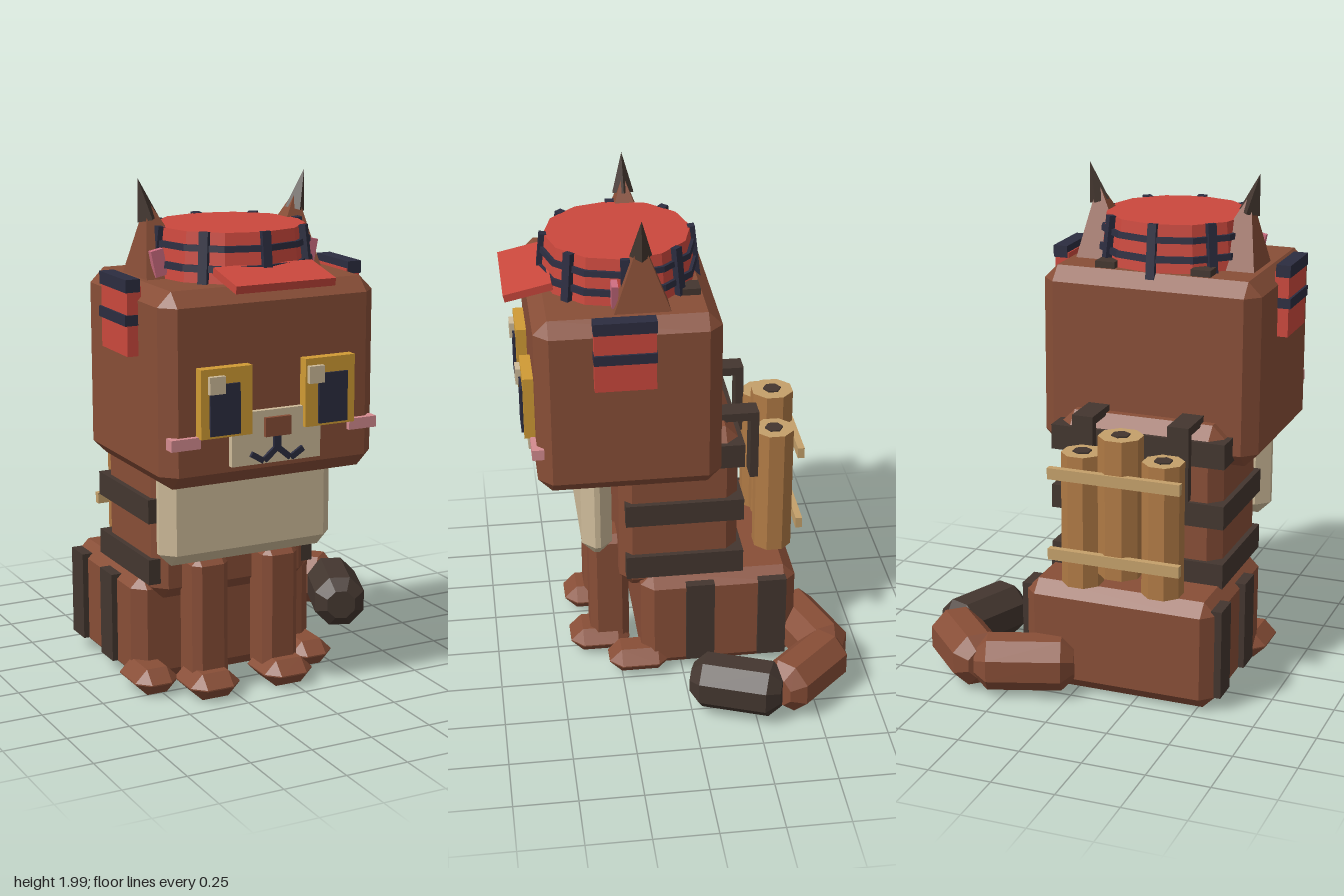
import * as THREE from 'three';
import { ConvexGeometry } from 'three/addons/geometries/ConvexGeometry.js';

const CX = -0.18; // symmetry plane of the body

export function createModel() {
  const root = new THREE.Group();
  root.name = 'seatedAnimal';
  const mat = (name, color) => {
    const m = new THREE.MeshStandardMaterial({ color, flatShading: true });
    m.name = name;
    return m;
  };
  const brown = mat('brown fur', 0x884e37);
  const dark = mat('dark strap', 0x43362f);
  const cream = mat('cream fur', 0xcfbc9a);
  const red = mat('red', 0xcb483d);
  const navy = mat('navy', 0x2c2d40);
  const gold = mat('gold', 0xd09b34);
  const pink = mat('blush pink', 0xd58c90);
  const rose = mat('ear rose', 0xcc6c80);
  const bark = mat('bark', 0xb07a45);
  const tan = mat('cut wood', 0xc4a06a);

  const add = (name, geo, m, parent = root) => {
    const mesh = new THREE.Mesh(geo, m);
    mesh.name = name;
    parent.add(mesh);
    return mesh;
  };
  // plain box from its limits
  const box = (name, m, x0, x1, y0, y1, z0, z1) => {
    const mesh = add(name, new THREE.BoxGeometry(x1 - x0, y1 - y0, z1 - z0), m);
    mesh.position.set((x0 + x1) / 2, (y0 + y1) / 2, (z0 + z1) / 2);
    return mesh;
  };
  // box with bevelled edges, from its limits
  const bevelBox = (name, m, x0, x1, y0, y1, z0, z1, c) => {
    const [w, h, d] = [(x1 - x0) / 2, (y1 - y0) / 2, (z1 - z0) / 2];
    const pts = [];
    for (const sx of [-1, 1]) for (const sy of [-1, 1]) for (const sz of [-1, 1]) {
      pts.push(new THREE.Vector3(sx * w, sy * (h - c), sz * (d - c)));
      pts.push(new THREE.Vector3(sx * (w - c), sy * h, sz * (d - c)));
      pts.push(new THREE.Vector3(sx * (w - c), sy * (h - c), sz * d));
    }
    const mesh = add(name, new ConvexGeometry(pts), m);
    mesh.position.set((x0 + x1) / 2, (y0 + y1) / 2, (z0 + z1) / 2);
    return mesh;
  };
  // limits measured outward from the symmetry plane, on side s
  const side = (fn, s, name, m, a, b, ...rest) =>
    fn(name, m, CX + (s > 0 ? a : -b), CX + (s > 0 ? b : -a), ...rest);

  // head and body
  bevelBox('head', brown, -0.624, 0.264, 0.9, 1.634, -0.153, 0.566, 0.055);
  bevelBox('bib', cream, -0.55, 0.18, 0.55, 0.97, 0.275, 0.397, 0.05);
  bevelBox('torso', brown, -0.515, 0.155, 0.37, 1.08, -0.235, 0.245, 0.05);
  bevelBox('haunches', brown, -0.57, 0.215, 0.01, 0.45, -0.47, 0.165, 0.05);
  for (const [y0, y1] of [[0.44, 0.54], [0.685, 0.78], [0.93, 1.03]])
    box('bodyStrap', dark, -0.537, 0.177, y0, y1, -0.253, 0.222);

  // muzzle, nose and mouth
  box('muzzle', cream, -0.365, 0.005, 0.977, 1.178, 0.55, 0.588);
  box('nose', brown, -0.233, -0.127, 1.08, 1.152, 0.58, 0.605);
  box('mouthLine', navy, -0.194, -0.166, 1.02, 1.085, 0.58, 0.6);
  for (const s of [-1, 1]) {
    for (const [dx, y, rot] of [[0.031, 1.01, -0.7], [0.083, 1.005, 0.55]]) {
      const bar = box('mouthCurve', navy, -0.029, 0.029, -0.011, 0.011, 0.58, 0.6);
      bar.position.x = CX + s * dx;
      bar.position.y = y;
      bar.rotation.z = s * rot;
    }
  }

  for (const s of [-1, 1]) {
    // eyes and cheeks
    side(box, s, 'eye', gold, 0.11, 0.318, 1.1, 1.358, 0.55, 0.608);
    side(box, s, 'pupil', navy, 0.163, 0.284, 1.11, 1.3, 0.6, 0.617);
    const hx = s < 0 ? -0.471 : -0.063;
    box('eyeHighlight', cream, hx, hx + 0.063, 1.267, 1.332, 0.6, 0.628);
    side(box, s, 'cheek', pink, 0.31, 0.427, 1.062, 1.105, 0.54, 0.587);

    // ears lean outward, with dark tips
    const ear = new THREE.ConeGeometry(0.177, 0.33, 4);
    ear.rotateY(Math.PI / 4);
    const p = ear.attributes.position;
    for (let i = 0; i < p.count; i++)
      p.setX(i, p.getX(i) + s * 0.065 * (p.getY(i) / 0.33 + 0.5));
    add('ear', ear, brown).position.set(CX + s * 0.25, 1.755, 0.148);
    const tip = add('earTip', new THREE.ConeGeometry(0.043, 0.16, 4), dark);
    tip.position.set(CX + s * 0.331, 1.922, 0.148);
    tip.rotation.z = -s * 0.26;
    const inner = add('innerEar', new THREE.BoxGeometry(0.05, 0.1, 0.025), rose);
    inner.position.set(CX + s * 0.317, 1.695, 0.25);
    inner.rotation.z = -s * 0.2;

    // side plates on the head
    side(box, s, 'sidePlate', red, 0.43, 0.487, 1.373, 1.63, 0.11, 0.345);
    side(box, s, 'sidePlateCap', navy, 0.435, 0.493, 1.61, 1.658, 0.107, 0.347);
    side(box, s, 'sidePlateStripe', navy, 0.435, 0.496, 1.487, 1.527, 0.107, 0.347);

    // legs and paws
    side(bevelBox, s, 'frontLeg', brown, 0.075, 0.228, 0.04, 0.56, 0.2, 0.362, 0.03);
    side(bevelBox, s, 'frontPaw', brown, 0.055, 0.265, 0.005, 0.11, 0.2, 0.445, 0.05);
    side(bevelBox, s, 'hindPaw', brown, 0.25, 0.433, 0.005, 0.11, 0.05, 0.3, 0.05);

    // straps on the haunches
    for (const [z0, z1] of [[-0.13, -0.015], [-0.425, -0.31]])
      side(box, s, 'haunchStrap', dark, 0.37, 0.413, 0.06, 0.42, z0, z1);

    // carrying straps at the back
    side(box, s, 'shoulderStrap', dark, 0.152, 0.238, 1.07, 1.105, -0.328, -0.02);
    side(box, s, 'hangingStrap', dark, 0.152, 0.238, 0.81, 1.105, -0.328, -0.295);
    side(box, s, 'hatStrapEnd', dark, 0.155, 0.235, 1.62, 1.66, -0.09, -0.02);
  }

  // hat: tapered drum with bands and ribs
  const hat = new THREE.Group();
  hat.name = 'hat';
  hat.position.set(CX, 0, 0.205);
  root.add(hat);
  const hatRadius = (y) => 0.318 - (y - 1.62) * 0.11;
  const drum = (name, m, y0, y1, grow) => {
    const g = new THREE.CylinderGeometry(hatRadius(y1) + grow, hatRadius(y0) + grow, y1 - y0, 12);
    add(name, g, m, hat).position.y = (y0 + y1) / 2;
  };
  drum('hatDrum', red, 1.6, 1.82, -0.01);
  drum('hatBand', navy, 1.675, 1.7, 0.003);
  drum('hatBand', navy, 1.75, 1.773, 0.003);
  for (let i = 0; i < 8; i++) {
    const pivot = new THREE.Group();
    pivot.name = 'hatRibMount';
    pivot.rotation.y = (i * Math.PI) / 4;
    hat.add(pivot);
    const rib = add('hatRib', new THREE.BoxGeometry(0.035, 0.215, 0.028), navy, pivot);
    rib.position.set(0, 1.716, hatRadius(1.716) - 0.008);
    rib.rotation.x = -0.11;
  }
  const visor = add('hatVisor', new THREE.BoxGeometry(0.405, 0.03, 0.19), red);
  visor.position.set(CX, 1.667, 0.567);
  visor.rotation.x = 0.22;

  // bundle of logs on the back
  for (const i of [-1, 0, 1]) {
    const mid = i === 0;
    const r = mid ? 0.088 : 0.082;
    const [y0, y1] = mid ? [0.52, 1.08] : [0.455, 0.99];
    const x = CX + i * 0.165, z = mid ? -0.42 : -0.402;
    const g = new THREE.CylinderGeometry(r, r, y1 - y0, 8);
    g.rotateY(Math.PI / 8);
    add('log', g, [bark, tan, tan]).position.set(x, (y0 + y1) / 2, z);
    const core = new THREE.CylinderGeometry(0.037, 0.037, y1 - y0 + 0.012, 6);
    add('logCore', core, dark).position.set(x, (y0 + y1) / 2, z);
  }
  for (const y of [0.572, 0.9])
    box('logPlank', tan, -0.447, 0.087, y, y + 0.045, -0.51, -0.483);

  // tail: octagonal segments with bevelled ends
  const tailPart = (name, m, x0, z0, x1, z1) => {
    const a = new THREE.Vector3(x0, 0.13, z0);
    const dir = new THREE.Vector3(x1, 0.13, z1).sub(a);
    const len = dir.length(), r = 0.113, c = 0.05;
    const profile = [[0, 0], [r - c, 0], [r, c], [r, len - c], [r - c, len], [0, len]]
      .map(([u, v]) => new THREE.Vector2(u, v));
    const g = new THREE.LatheGeometry(profile, 8, Math.PI / 8);
    g.rotateX(Math.PI / 2);
    const mesh = add(name, g, m);
    mesh.position.copy(a);
    mesh.rotation.y = Math.atan2(dir.x, dir.z);
  };
  tailPart('tailBase', brown, 0.0, -0.46, 0.37, -0.588);
  tailPart('tailMiddle', brown, 0.33, -0.605, 0.59, -0.335);
  tailPart('tailTip', dark, 0.587, -0.355, 0.452, -0.01);

  return root;
}
